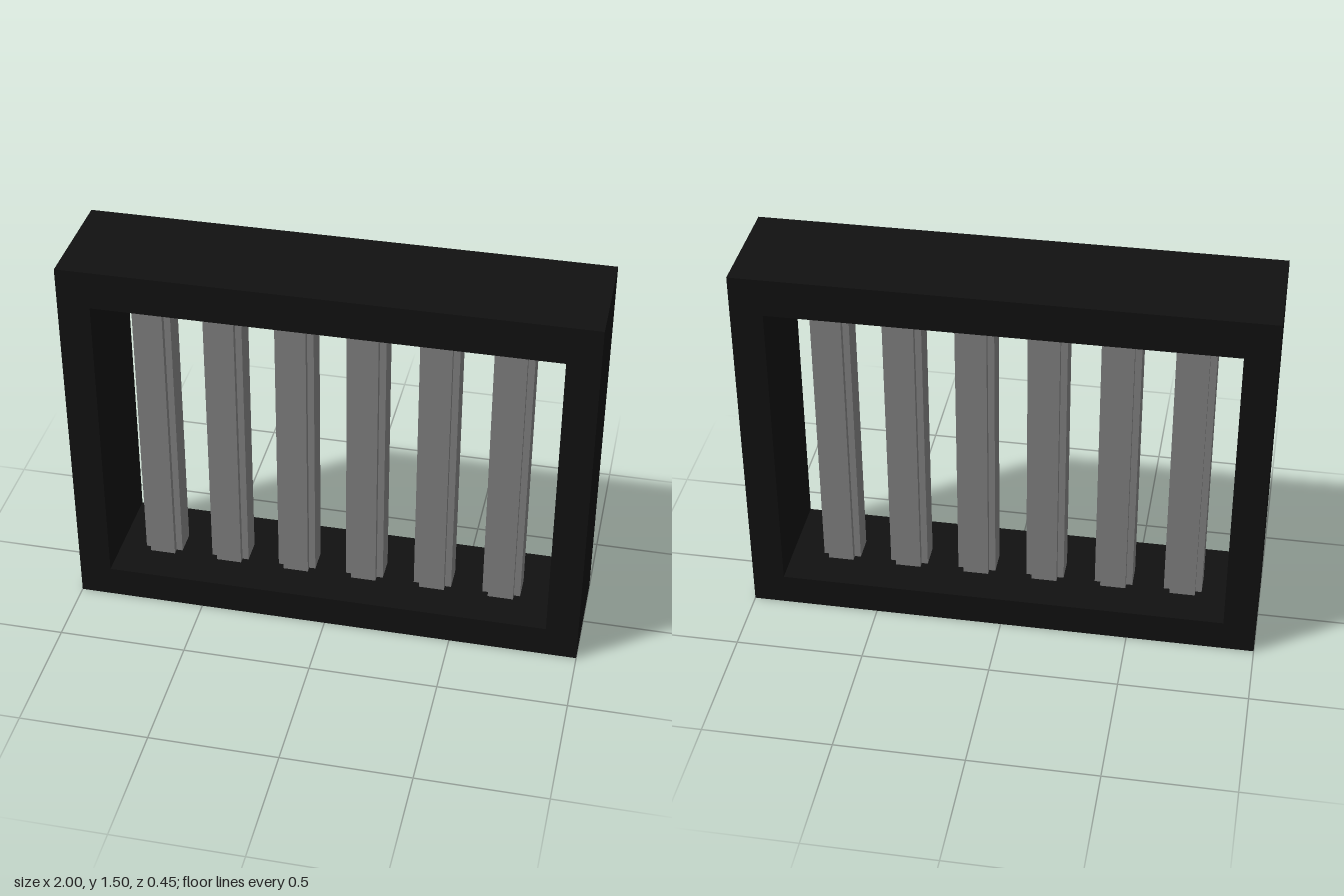
import * as THREE from 'three';

// Closed outline from a list of [x, y] corners
function outline(Type, points) {
  return new Type(points.map(([x, y]) => new THREE.Vector2(x, y)));
}

export function createModel() {
  const model = new THREE.Group();
  model.name = 'barredWindow';

  const frameBlack = new THREE.MeshStandardMaterial({ color: 0x111111 });
  frameBlack.name = 'frame black';
  const barGrey = new THREE.MeshStandardMaterial({ color: 0x808080 });
  barGrey.name = 'bar grey';

  // Deep rectangular frame with an open middle
  const depth = 0.45;
  const frameShape = outline(THREE.Shape, [[-1, 0], [1, 0], [1, 1.5], [-1, 1.5]]);
  frameShape.holes.push(outline(THREE.Path,
    [[-0.875, 0.125], [-0.875, 1.35], [0.875, 1.35], [0.875, 0.125]]));
  const frameGeometry = new THREE.ExtrudeGeometry(frameShape, { depth, bevelEnabled: false });
  frameGeometry.translate(0, 0, -depth / 2);
  const frame = new THREE.Mesh(frameGeometry, frameBlack);
  frame.name = 'frame';
  model.add(frame);

  // Upright bars: square section with a small notch cut from each corner
  const o = 0.075, n = 0.05, bottom = 0.125, top = 1.35;
  const barShape = outline(THREE.Shape, [
    [-n, -o], [n, -o], [n, -n], [o, -n], [o, n], [n, n],
    [n, o], [-n, o], [-n, n], [-o, n], [-o, -n], [-n, -n],
  ]);
  const barGeometry = new THREE.ExtrudeGeometry(barShape, { depth: top - bottom, bevelEnabled: false });
  barGeometry.rotateX(-Math.PI / 2);

  const bars = new THREE.Group();
  bars.name = 'bars';
  for (let i = 0; i < 6; i++) {
    const bar = new THREE.Mesh(barGeometry, barGrey);
    bar.name = `bar${i + 1}`;
    bar.position.set(-0.7 + i * 0.275, bottom, 0);
    bars.add(bar);
  }
  model.add(bars);

  return model;
}
